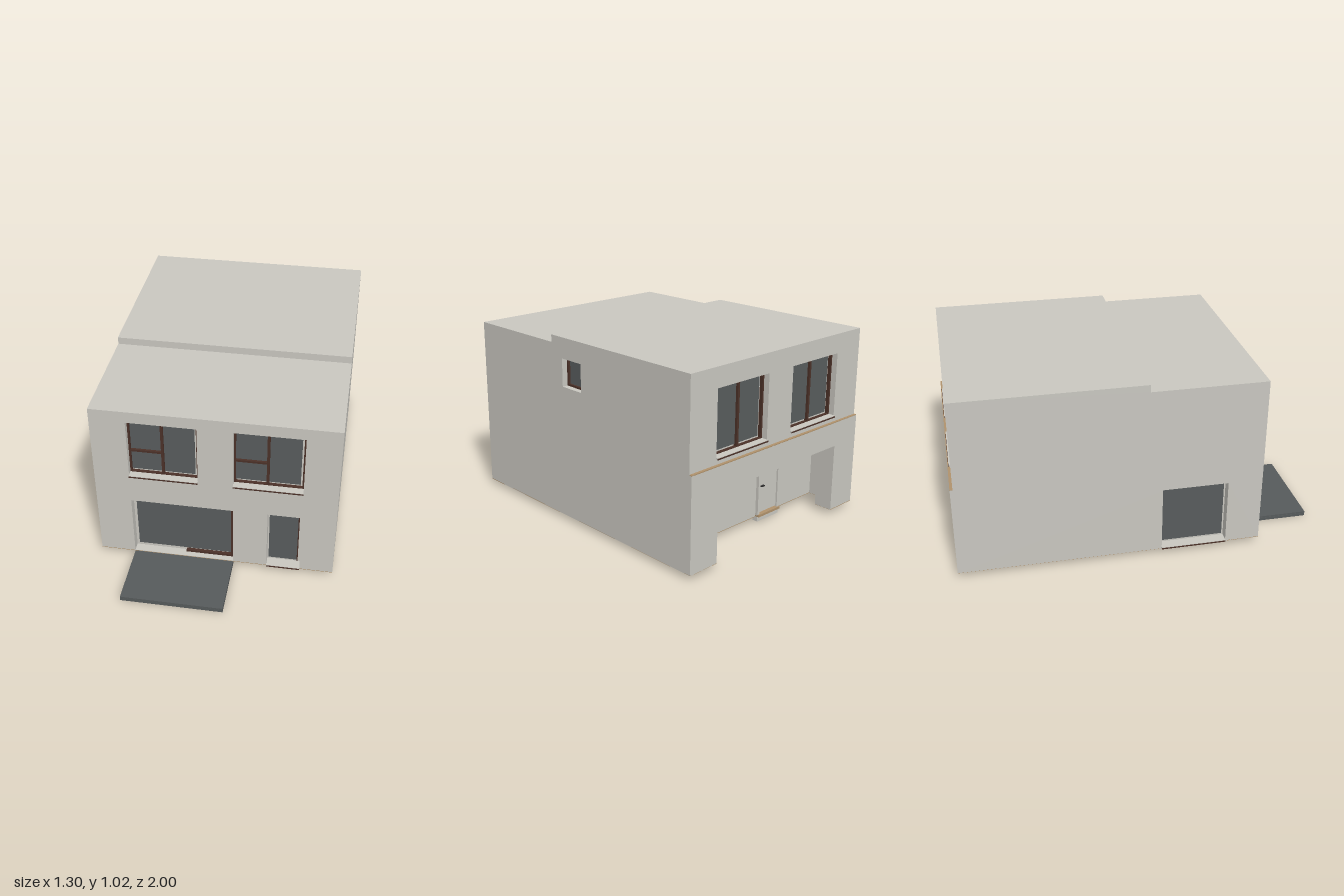
import * as THREE from 'three';

const mat = (name, color) => new THREE.MeshStandardMaterial({ name, color });

export function createModel() {
  const render = mat('wall render', 0xc9c7c0);
  const glassMat = mat('dark glass', 0x585c5d);
  const slate = mat('terrace slate', 0x565a5b);
  const brown = mat('frame brown', 0x4b3128);
  const tan = mat('timber tan', 0xb0926c);
  const metal = mat('handle metal', 0x2c2c2c);

  const house = new THREE.Group();
  house.name = 'house';

  // Box given by its minimum and maximum corners
  const box = (parent, name, material, x0, x1, y0, y1, z0, z1) => {
    const m = new THREE.Mesh(new THREE.BoxGeometry(x1 - x0, y1 - y0, z1 - z0), material);
    m.position.set((x0 + x1) / 2, (y0 + y1) / 2, (z0 + z1) / 2);
    m.name = name;
    parent.add(m);
    return m;
  };

  // Extruded wall outline with rectangular openings [a0, a1, y0, y1]
  const slab = (name, material, outline, holes, depth) => {
    const shape = new THREE.Shape(outline.map(p => new THREE.Vector2(...p)));
    for (const [a0, a1, y0, y1] of holes) {
      shape.holes.push(new THREE.Path([[a0, y0], [a0, y1], [a1, y1], [a1, y0]].map(p => new THREE.Vector2(...p))));
    }
    const m = new THREE.Mesh(new THREE.ExtrudeGeometry(shape, { depth, bevelEnabled: false }), material);
    m.name = name;
    house.add(m);
    return m;
  };
  const rect = (a0, a1, y0, y1) => [[a0, y0], [a1, y0], [a1, y1], [a0, y1]];

  const X = 0.645, T = 0.08, XI = X - T, BASE = 0.03;
  const LOW = 0.034;                       // bottom of ground floor openings
  const upper = [[-0.455, -0.088, 0.572, 0.92], [0.097, 0.464, 0.572, 0.92]];
  const patio = [-0.455, 0.097, LOW, 0.402];
  const narrow = [0.282, 0.465, LOW, 0.402];

  // Outer walls
  slab('frontWall', render, rect(-XI, XI, BASE, 0.985), [...upper, patio, narrow], T).position.z = 0.65 - T;
  slab('backUpperWall', render, rect(-XI, XI, 0.54, 1.025), upper, T).position.z = -0.985;
  slab('backLowerWall', render, [[-XI, BASE], [-0.46, BASE], [-0.46, 0.405], [0.46, 0.405],
    [0.46, BASE], [XI, BASE], [XI, 0.54], [-XI, 0.54]], [], 0.105).position.z = -1;
  const profile = [[-1, BASE], [0.65, BASE], [0.65, 0.985], [0.025, 0.985],
    [0.025, 1.025], [-0.985, 1.025], [-0.985, 0.54], [-1, 0.54]];
  const rightHole = [-0.21, -0.06, 0.76, 0.912];
  const leftHole = [0.1, 0.46, LOW, 0.402];
  for (const [name, hole, x] of [['sideWallRight', rightHole, X], ['sideWallLeft', leftHole, -XI]]) {
    const w = slab(name, render, profile, [hole], T);
    w.rotation.y = -Math.PI / 2;
    w.position.x = x;
  }

  // Stepped flat roof and ledge
  box(house, 'frontRoof', render, -XI, XI, 0.945, 0.985, 0.025, 0.65 - T);
  box(house, 'backRoof', render, -XI, XI, 0.945, 1.025, -0.985 + T, 0.025);
  box(house, 'backLedge', tan, -X, X, 0.538, 0.543, -1.0, -0.985);

  // Floor cut away around the porch
  const floor = slab('floor', tan, [[-X, -0.65], [X, -0.65], [X, 1], [0.46, 1], [0.46, 0.895], [XI, 0.895],
    [XI, 0.775], [-XI, 0.775], [-XI, 0.895], [-0.46, 0.895], [-0.46, 1], [-X, 1]], [], 0.003);
  floor.rotation.x = -Math.PI / 2;
  floor.position.y = BASE - 0.001;
  box(house, 'floorPanelFront', render, 0.11, 0.42, 0.026, 0.03, 0.1, 0.48);
  box(house, 'floorPanelBack', render, -0.6, -0.315, 0.026, 0.03, -0.72, -0.42);

  // Porch
  box(house, 'porchCeiling', render, -XI, XI, 0.405, 0.43, -0.895, -0.7);
  box(house, 'porchWall', render, -XI, XI, BASE, 0.41, -0.775, -0.72);

  // Window in local coordinates: opening starts at the origin, +z points outdoors.
  // glass: insets [left, right, bottom, top]; bars: brown rectangles [x0, x1, y0, y1]
  const addWindow = (name, w, h, place, rotY, glass, bars, sill) => {
    const g = new THREE.Group();
    g.name = name;
    const [l, r, b, t] = glass;
    box(g, 'surround', render, 0, w, 0, h, -0.065, -0.05);
    box(g, 'glass', glassMat, l, w - r, b, h - t, -0.05, -0.045);
    for (const [x0, x1, y0, y1] of bars) box(g, 'frameBar', brown, x0, x1, y0, y1, -0.052, -0.032);
    if (sill) {
      box(g, 'sill', render, 0, w, -0.004, 0.006, -0.05, 0.009);
      box(g, 'sillEdge', brown, 0, w, -0.004, 0.003, 0.009, 0.011);
    }
    g.position.set(...place);
    g.rotation.y = rotY;
    house.add(g);
  };
  const border = (w, h, f) => [[0, f, 0, h], [w - f, w, 0, h], [f, w - f, 0, f], [f, w - f, h - f, h]];

  const W = 0.367, H = 0.348, F = 0.01;
  for (const [x0, x1] of upper) {
    addWindow('frontUpperWindow', W, H, [x0, 0.572, 0.65], 0, [F, 0.02, 0.02, F],
      [...border(W, H, F), [0.171, 0.185, F, H - F], [F, 0.171, 0.142, 0.154]], true);
    addWindow('backUpperWindow', W, H, [x1, 0.572, -0.985], Math.PI, [F, 0.02, 0.02, F],
      [...border(W, H, F), [0.177, 0.19, F, H - F]], true);
  }
  const dw = 0.552, dh = 0.368;
  addWindow('patioDoor', dw, dh, [patio[0], LOW, 0.65], 0, [0.016, 0.018, 0.02, 0.006],
    [[dw - 0.016, dw, 0, dh], [0.285, dw - 0.016, 0, 0.013], [0.285, dw - 0.016, dh - 0.006, dh]], false);
  addWindow('frontNarrowWindow', 0.183, dh, [narrow[0], LOW, 0.65], 0, [0.007, 0.018, 0.018, 0.006],
    [[0.163, 0.168, 0.02, dh]], true);
  addWindow('sideSmallWindow', 0.15, 0.152, [X, 0.76, -0.06], Math.PI / 2, [F, F, F, F],
    border(0.15, 0.152, F), false);
  addWindow('sideLargeWindow', 0.36, dh, [-X, LOW, 0.1], -Math.PI / 2, [0.007, 0.01, 0.018, 0.006], [], true);

  // Small porch window with bars
  const pw = new THREE.Group();
  pw.name = 'porchWindow';
  house.add(pw);
  box(pw, 'glass', glassMat, 0.3, 0.46, 0.25, 0.39, -0.779, -0.774);
  for (const y of [0.25, 0.382]) box(pw, 'frameBar', brown, 0.3, 0.46, y, y + 0.01, -0.784, -0.774);
  for (const x of [0.3, 0.375, 0.45]) box(pw, 'frameBar', brown, x, x + 0.01, 0.26, 0.382, -0.784, -0.774);
  box(pw, 'sill', render, 0.29, 0.47, 0.235, 0.25, -0.795, -0.774);

  // Porch door with transom, step and handle
  const door = new THREE.Group();
  door.name = 'porchDoor';
  house.add(door);
  box(door, 'leaf', render, -0.25, -0.105, 0.05, 0.365, -0.782, -0.774);
  for (const x of [-0.265, -0.105]) box(door, 'jamb', render, x, x + 0.015, 0.04, 0.4, -0.792, -0.774);
  box(door, 'transom', brown, -0.25, -0.105, 0.368, 0.4, -0.786, -0.774);
  box(door, 'threshold', tan, -0.265, -0.09, 0.032, 0.045, -0.8, -0.774);
  box(door, 'step', render, -0.265, -0.09, 0.005, 0.032, -0.79, -0.758);
  box(door, 'handle', metal, -0.14, -0.115, 0.2, 0.206, -0.794, -0.782);

  // Terrace
  box(house, 'terraceDeck', slate, -0.455, 0.097, 0.018, 0.027, 0.63, 1.0);
  box(house, 'terraceBase', slate, -0.455, 0.097, 0, 0.0165, 0.63, 0.999);
  box(house, 'terraceCore', slate, -0.45, 0.092, 0.01, 0.02, 0.635, 0.995);

  return house;
}
